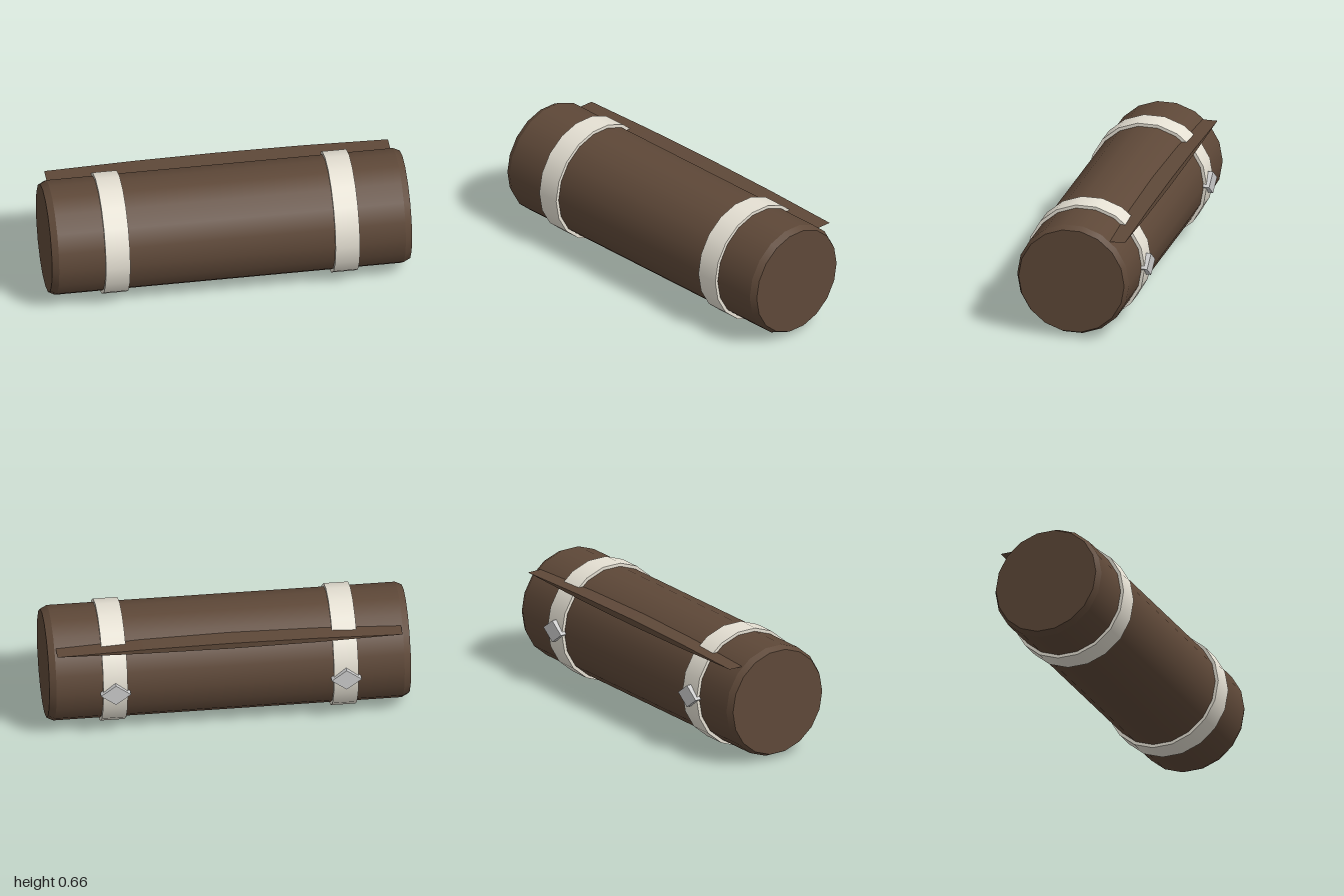
import * as THREE from 'three';

const SIDES = 18;
const CENTER_Y = 0.333;
const CENTER_Z = 0.009;

// Cylinder lying along x
function roll(rPlusX, rMinusX, length, open = false) {
  const g = new THREE.CylinderGeometry(rPlusX, rMinusX, length, SIDES, 1, open);
  return g.rotateZ(-Math.PI / 2);
}

// Flat outline in x/y, extruded from zBack to zFront
function slab(points, zBack, zFront) {
  const shape = new THREE.Shape(points.map(([x, y]) => new THREE.Vector2(x, y)));
  const g = new THREE.ExtrudeGeometry(shape, { depth: zFront - zBack, bevelEnabled: false });
  return g.translate(0, 0, zBack);
}

export function createModel() {
  const model = new THREE.Group();
  model.name = 'strappedRoll';

  const brown = new THREE.MeshStandardMaterial({ color: 0x5e4838 });
  const cream = new THREE.MeshStandardMaterial({ color: 0xe6e1d4 });
  const grey = new THREE.MeshStandardMaterial({ color: 0xcccccc, flatShading: true });

  function add(name, geometry, material, x, y, z) {
    const mesh = new THREE.Mesh(geometry, material);
    mesh.name = name;
    mesh.position.set(x, y, z);
    model.add(mesh);
    return mesh;
  }

  // Main roll
  add('roll', roll(0.319, 0.319, 1.926, true), brown, 0, CENTER_Y, CENTER_Z);

  for (const [side, s] of [['left', 1], ['right', -1]]) {
    // Chamfered end with its cap
    const end = s > 0 ? roll(0.301, 0.319, 0.037) : roll(0.319, 0.301, 0.037);
    add(side + 'End', end, brown, s * 0.9815, CENTER_Y, CENTER_Z);

    // Strap around the roll
    add(side + 'Strap', roll(0.337, 0.337, 0.135), cream, s * 0.638, CENTER_Y, CENTER_Z);

    // Diamond buckle at the back
    const diamond = [[0.083, 0], [0, 0.063], [-0.083, 0], [0, -0.063]];
    add(side + 'Buckle', slab(diamond, -0.345, -0.29), grey, s * 0.638, CENTER_Y, 0);
  }

  // Loose outer edge of the roll, thickest in the middle and tapering to the ends
  const lens = [
    [0.955, 0], [0.48, 0.013], [0, 0.0175], [-0.48, 0.013],
    [-0.955, 0], [-0.48, -0.013], [0, -0.0175], [0.48, -0.013],
  ];
  const flapMaterial = brown.clone();
  flapMaterial.flatShading = true;
  add('looseFlap', slab(lens, -0.282, -0.13), flapMaterial, 0, 0.57, 0);

  return model;
}
